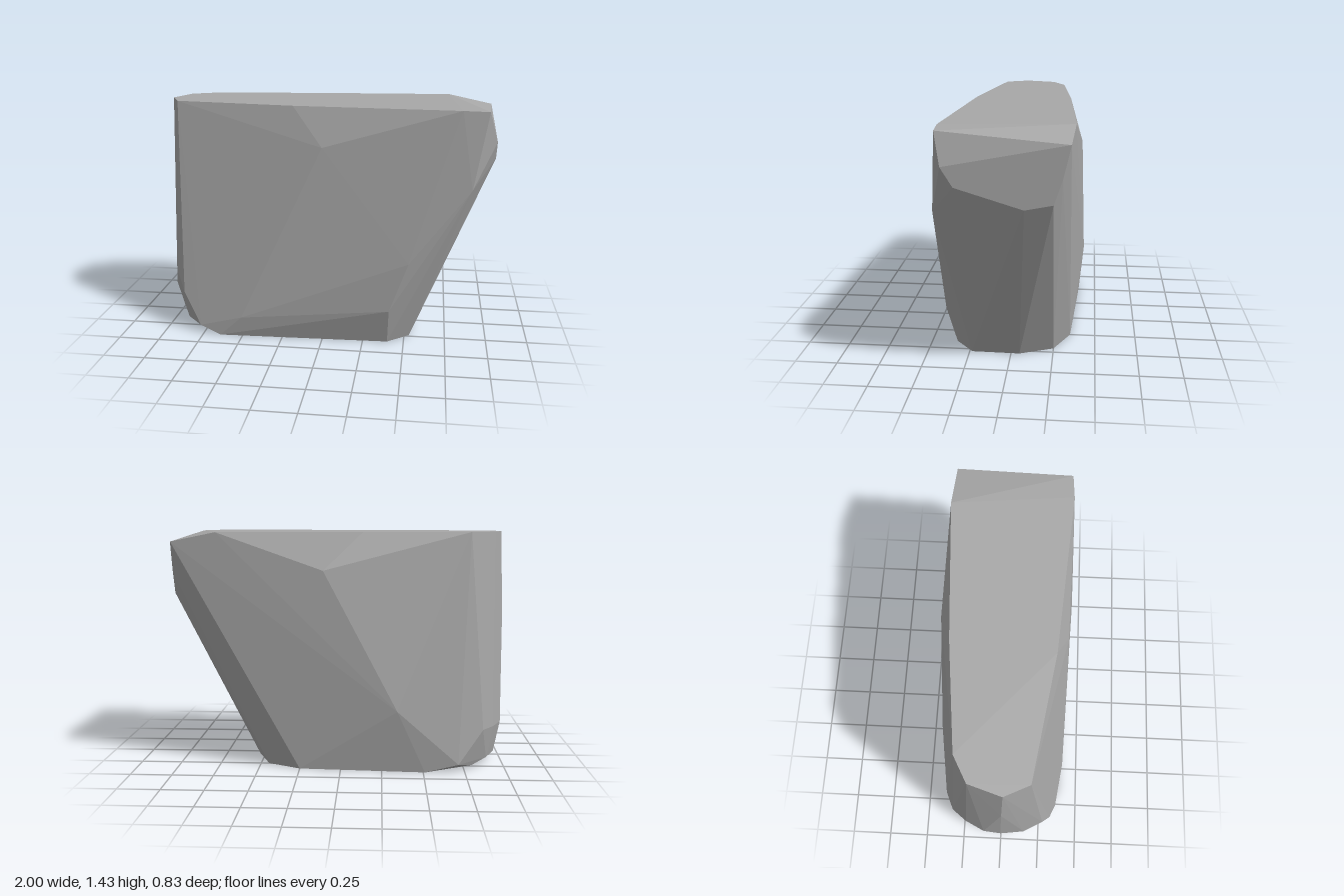
import * as THREE from 'three';
import { ConvexGeometry } from 'three/addons/geometries/ConvexGeometry.js';

// Places [x, z] outline points at one height
const ring = (y, outline) => outline.map(([x, z]) => new THREE.Vector3(x, y, z));
const corners = (list) => list.map((p) => new THREE.Vector3(...p));

export function createModel() {
  const stone = new THREE.MeshStandardMaterial({ color: 0xa8a8a8, flatShading: true });
  stone.name = 'grey stone';

  // Flat top
  const top = ring(1.43, [
    [-0.98, 0.02], [-0.92, -0.17], [-0.77, -0.25], [-0.13, -0.315], [0.73, -0.367],
    [0.8, 0.355], [-0.18, 0.28], [-0.91, 0.165],
  ]);

  // Flat base and the slightly raised rounded edge beside it
  const base = ring(0, [
    [-0.64, 0.38], [0.4, 0.345], [0.53, 0.235], [0.535, -0.05],
    [0.45, -0.25], [0.25, -0.345], [-0.51, -0.385],
  ]);
  const raisedEdge = [
    ...ring(0.02, [[-0.8, -0.29]]),
    ...ring(0.05, [
      [-0.71, -0.385], [-0.895, -0.22], [-0.955, -0.09], [-0.965, 0.06],
      [-0.88, 0.24], [-0.77, 0.36],
    ]),
  ];

  // Rounded end
  const roundedEnd = [
    ...ring(0.25, [[-0.86, -0.32], [-0.93, -0.23], [-0.99, -0.11], [-1, 0], [-0.98, 0.15], [-0.88, 0.315]]),
    ...ring(0.36, [[-0.93, 0.265]]),
    ...ring(0.95, [[-1, 0.01]]),
  ];

  // Overhanging end: the upright facet above the slope
  const overhang = corners([
    [0.95, 1.425, 0.345], [1, 1.375, -0.35], [1, 1.25, 0.31], [1, 1.145, 0.245],
    [1, 1.035, -0.115], [1, 1.065, -0.265], [1, 1.2, -0.31],
  ]);

  // Corners where the broad sides bulge
  const frontBulge = corners([
    [-0.5, 0.13, 0.397], [0.41, 0.225, 0.408], [0.52, 0.53, 0.413],
    [0.87, 0.98, 0.38], [0, 1.2, 0.355],
  ]);
  const backBulge = corners([[-0.34, 0.38, -0.416], [0.1, 1.21, -0.394]]);

  const boulder = new THREE.Mesh(
    new ConvexGeometry([...top, ...base, ...raisedEdge, ...roundedEnd, ...overhang, ...frontBulge, ...backBulge]),
    stone,
  );
  boulder.name = 'boulder';

  const model = new THREE.Group();
  model.name = 'rock';
  model.add(boulder);
  return model;
}
